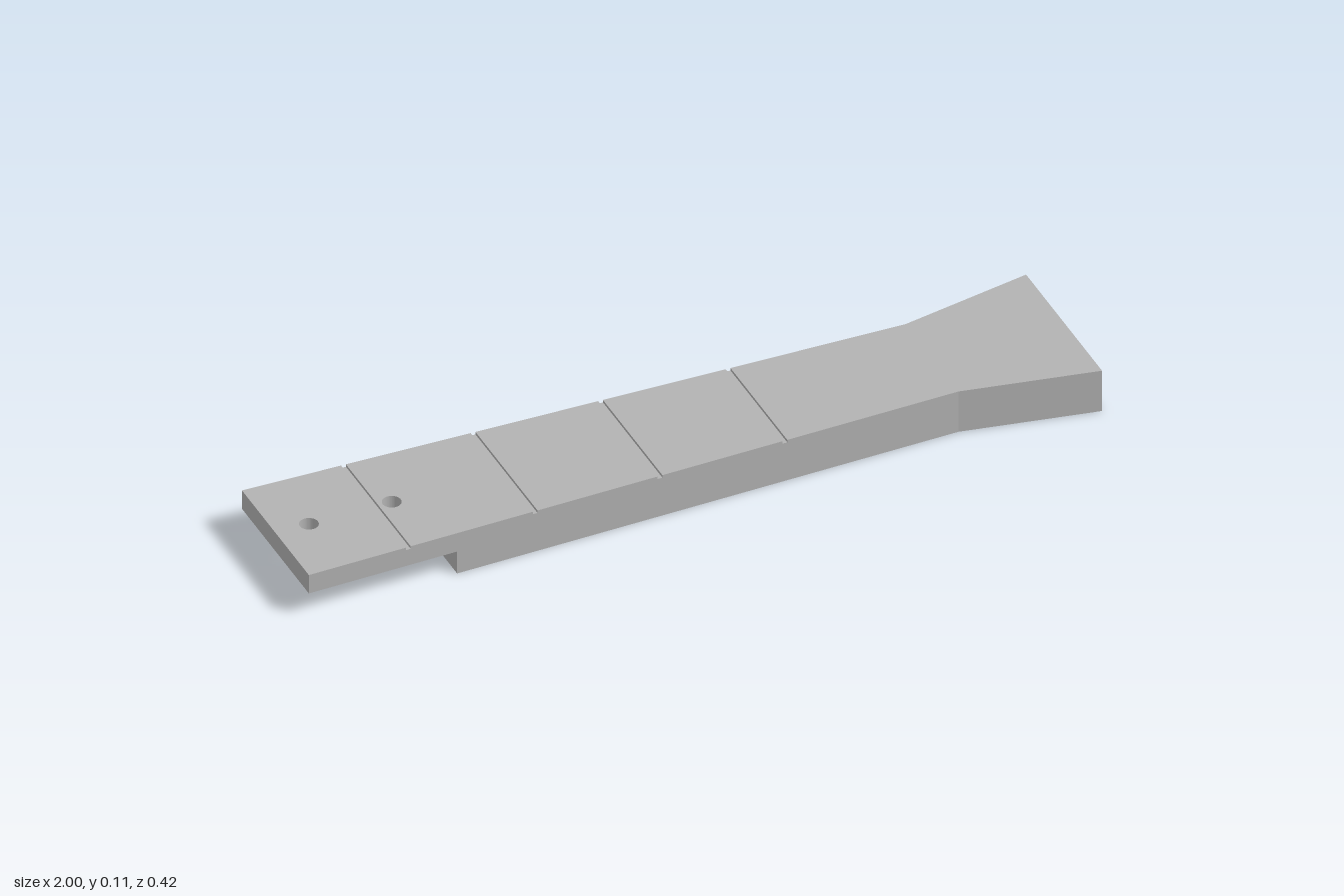
import * as THREE from 'three';

const TOP = 0.114, STEP_Y = 0.062, GROOVE_Y = 0.107;
const STEP_X = -0.62, WAIST_X = 0.665, GROOVE_HALF = 0.006;
const GROOVES = [-0.745, -0.42, -0.1, 0.22];
const HOLES = [-0.915, -0.705];
const HOLE_RADIUS = 0.023;

// Half width of the neck at a given x: slow taper to the waist, then a flare
function halfWidth(x) {
  return x < WAIST_X
    ? THREE.MathUtils.mapLinear(x, -1, WAIST_X, 0.185, 0.147)
    : THREE.MathUtils.mapLinear(x, WAIST_X, 1, 0.147, 0.21);
}

// Slab of the tapered outline between two x and two y positions, with any holes inside it
function slab(x0, x1, y0, y1) {
  const xs = [x0, WAIST_X, x1].filter((x, i) => i !== 1 || (x > x0 && x < x1));
  const shape = new THREE.Shape([
    ...xs.map((x) => new THREE.Vector2(x, -halfWidth(x))),
    ...xs.reverse().map((x) => new THREE.Vector2(x, halfWidth(x))),
  ]);
  for (const x of HOLES) {
    if (x < x0 || x > x1) continue;
    shape.holes.push(new THREE.Path().absarc(x, 0, HOLE_RADIUS, 0, Math.PI * 2, true));
  }
  return new THREE.ExtrudeGeometry(shape, { depth: y1 - y0, bevelEnabled: false, curveSegments: 24 })
    .rotateX(-Math.PI / 2)
    .translate(0, y0, 0);
}

export function createModel() {
  const model = new THREE.Group();
  model.name = 'taperedBar';
  const grey = new THREE.MeshStandardMaterial({ color: 0xb2b2b2 });
  grey.name = 'grey';
  const add = (name, geometry) => {
    const mesh = new THREE.Mesh(geometry, grey);
    mesh.name = name;
    model.add(mesh);
  };

  // Thick lower body, stopping short to leave the thin mounting tongue
  add('lowerBody', slab(STEP_X, 1, 0, STEP_Y));

  // Full-length plate up to the groove floors
  add('upperPlate', slab(-1, 1, STEP_Y, GROOVE_Y));

  // Top surface panels separated by the cross grooves
  const edges = [-1, ...GROOVES.flatMap((x) => [x - GROOVE_HALF, x + GROOVE_HALF]), 1];
  for (let i = 0; i < edges.length; i += 2) {
    add(`topPanel${i / 2 + 1}`, slab(edges[i], edges[i + 1], GROOVE_Y, TOP));
  }
  return model;
}
